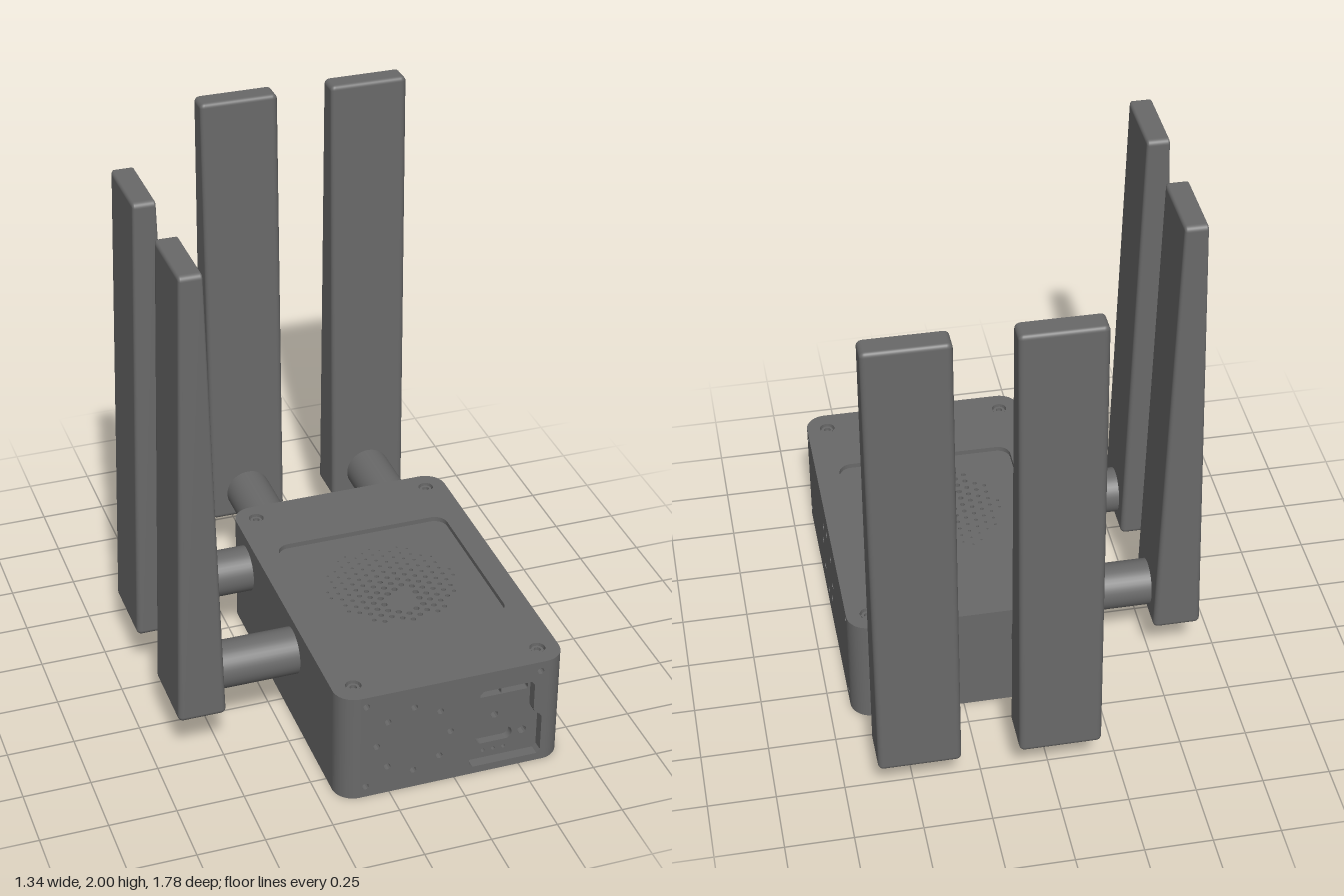
import * as THREE from 'three';
import { RoundedBoxGeometry } from 'three/addons/geometries/RoundedBoxGeometry.js';

const grey = new THREE.MeshStandardMaterial({ color: 0x696969 });
grey.name = 'dark grey plastic';

// Trace a rectangle with rounded corners onto a shape or hole path
function roundRect(path, x0, y0, x1, y1, r) {
  path.moveTo(x0 + r, y0);
  path.lineTo(x1 - r, y0);
  path.absarc(x1 - r, y0 + r, r, -Math.PI / 2, 0, false);
  path.lineTo(x1, y1 - r);
  path.absarc(x1 - r, y1 - r, r, 0, Math.PI / 2, false);
  path.lineTo(x0 + r, y1);
  path.absarc(x0 + r, y1 - r, r, Math.PI / 2, Math.PI, false);
  path.lineTo(x0, y0 + r);
  path.absarc(x0 + r, y0 + r, r, Math.PI, Math.PI * 1.5, false);
  return path;
}
const disc = (x, y, r) => new THREE.Path().absarc(x, y, r, 0, Math.PI * 2, false);
const polygon = pts => new THREE.Shape(pts.map(p => new THREE.Vector2(...p)));
const ring = (x, y) => Array.from({ length: 8 }, (_, i) =>
  disc(x + 0.14 * Math.cos(i * Math.PI / 4), y + 0.14 * Math.sin(i * Math.PI / 4), 0.013));

function extrude(shape, depth, holes = [], seg = 6) {
  shape.holes.push(...holes);
  return new THREE.ExtrudeGeometry(shape, { depth, bevelEnabled: false, curveSegments: seg });
}
// Horizontal slab: shape drawn in (x, z), hanging down from yTop
const slab = (shape, yTop, depth, holes, seg) =>
  extrude(shape, depth, holes, seg).rotateX(Math.PI / 2).translate(0, yTop, 0);

export function createModel() {
  const root = new THREE.Group();
  root.name = 'router';
  const add = (name, geo, parent = root) => {
    const m = new THREE.Mesh(geo, grey);
    m.name = name;
    parent.add(m);
    return m;
  };

  const X0 = -0.19, X1 = 0.67, Z0 = -0.4, Z1 = 0.89, H = 0.44, R = 0.078, T = 0.02;
  const footprint = () => roundRect(new THREE.Shape(), X0, Z0, X1, Z1, R);
  const panel = (P, inset = 0) =>
    roundRect(new P(), -0.1 + inset, -0.11 + inset, 0.58 - inset, 0.56 - inset, 0.05);

  // Body wall, with shallow notches that take the front and side plates
  const fx0 = X0 + R, fx1 = X1 - R, sz0 = Z0 + R, sz1 = Z1 - R;
  const wall = new THREE.Shape();
  wall.moveTo(X0 + R, Z0);
  wall.lineTo(fx1, Z0);
  wall.absarc(fx1, sz0, R, -Math.PI / 2, 0, false);
  wall.lineTo(X1 - 0.02, sz0);
  wall.lineTo(X1 - 0.02, sz1);
  wall.lineTo(X1, sz1);
  wall.absarc(fx1, sz1, R, 0, Math.PI / 2, false);
  wall.lineTo(fx1, Z1 - 0.07);
  wall.lineTo(fx0, Z1 - 0.07);
  wall.lineTo(fx0, Z1);
  wall.absarc(fx0, sz1, R, Math.PI / 2, Math.PI, false);
  wall.lineTo(X0, sz0);
  wall.absarc(fx0, sz0, R, Math.PI, Math.PI * 1.5, false);
  add('bodyWall', slab(wall, H - T, H - 2 * T, [panel(THREE.Path, 0.015)], 10));

  // Lid and base frames around the recessed grilles
  const corners = [[-0.11, -0.32], [0.59, -0.32], [0.59, 0.805], [-0.11, 0.805]];
  add('lid', slab(footprint(), H, T,
    [panel(THREE.Path), ...corners.map(([x, z]) => disc(x, z, 0.029))], 10));
  add('base', slab(footprint(), T, T, [panel(THREE.Path)], 10));
  for (const [x, z] of corners) {
    const screw = roundRect(new THREE.Shape(), x - 0.022, z - 0.022, x + 0.022, z + 0.022, 0.0219);
    add('lidScrew', slab(screw, H - 0.008, 0.014, [disc(x, z, 0.013)]));
  }

  // Vent holes that grow towards a solid hub
  const vents = () => {
    const holes = [];
    for (let i = -7; i <= 7; i++) {
      for (let j = -7; j <= 7; j++) {
        const x = 0.24 + i * 0.0345;
        const z = 0.235 + (j + (i % 2 ? 0.5 : 0)) * 0.04;
        const d = Math.hypot(x - 0.245, z - 0.345);
        if (Math.hypot(x - 0.24, z - 0.235) > 0.246 || d < 0.06) continue;
        holes.push(disc(x, z, Math.max(0.004, 0.0145 - d * 0.032)));
      }
    }
    return holes;
  };
  add('topGrille', slab(panel(THREE.Shape), H - T + 0.001, T, vents(), 5));
  add('bottomGrille', slab(panel(THREE.Shape), 2 * T - 0.001, T, vents(), 5));

  // Front plate with screw holes and the port recess
  const frontRect = () => polygon([[fx0, T], [fx1, T], [fx1, H - T], [fx0, H - T]]);
  const recess = new THREE.Path([
    [0.32, 0.03], [0.57, 0.03], [0.583, 0.045], [0.583, 0.195], [0.575, 0.208], [0.555, 0.222],
    [0.55, 0.235], [0.55, 0.345], [0.537, 0.36], [0.353, 0.36], [0.34, 0.345], [0.34, 0.235],
    [0.335, 0.222], [0.315, 0.208], [0.307, 0.195], [0.307, 0.045],
  ].map(p => new THREE.Vector2(...p)));
  add('frontPlate', extrude(frontRect(), 0.04, [recess, ...ring(0.09, 0.215),
    disc(-0.09, 0.4, 0.013), disc(-0.09, 0.045, 0.013), disc(0.57, 0.4, 0.013)])
    .translate(0, 0, Z1 - 0.04));

  // Port plate at the back of the recess
  add('portPlate', extrude(frontRect(), 0.03, [
    roundRect(new THREE.Path(), 0.35, 0.303, 0.54, 0.342, 0.005),
    roundRect(new THREE.Path(), 0.345, 0.095, 0.485, 0.148, 0.025),
    disc(0.415, 0.215, 0.015), disc(0.525, 0.12, 0.017),
    ...[0.375, 0.415, 0.455].map(x => disc(x, 0.062, 0.008)),
  ]).translate(0, 0, Z1 - 0.07));
  add('slotTongue', new THREE.BoxGeometry(0.19, 0.018, 0.02).translate(0.445, 0.332, Z1 - 0.055));
  add('slotDivider', new THREE.BoxGeometry(0.005, 0.039, 0.02).translate(0.44, 0.322, Z1 - 0.055));

  // Left side plate with screw holes, drawn in (-z, y)
  const sideHoles = ring(-0.25, 0.215);
  for (const z of [0.797, -0.293]) for (const y of [0.4, 0.045]) sideHoles.push(disc(-z, y, 0.012));
  add('sidePlate', extrude(
    polygon([[-sz1, T], [-sz0, T], [-sz0, H - T], [-sz1, H - T]]), 0.02, sideHoles)
    .rotateY(Math.PI / 2).translate(X1 - 0.02, 0, 0));

  // Antennas: a round arm and a tapered upright blade
  const blade = new RoundedBoxGeometry(0.3, 1.8, 0.18, 4, 0.02);
  const pos = blade.attributes.position;
  for (let i = 0; i < pos.count; i++) {
    const t = (pos.getY(i) + 0.9) / 1.8;
    pos.setZ(i, pos.getZ(i) * (1 - 0.54 * t));
  }
  blade.translate(0, 1.1, -0.4);
  const arm = new THREE.CylinderGeometry(0.088, 0.088, 0.36, 40)
    .rotateX(Math.PI / 2).translate(0, 0.31, -0.16);
  const antenna = (name, x, z, turn) => {
    const g = new THREE.Group();
    g.name = name;
    add('antennaArm', arm, g);
    add('antennaBlade', blade, g);
    g.position.set(x, 0, z);
    g.rotation.y = turn;
    root.add(g);
  };
  for (const x of [-0.02, 0.49]) antenna('backAntenna', x, Z0, 0);
  for (const z of [-0.19, 0.37]) antenna('sideAntenna', X0 + 0.01, z, Math.PI / 2);

  return root;
}
